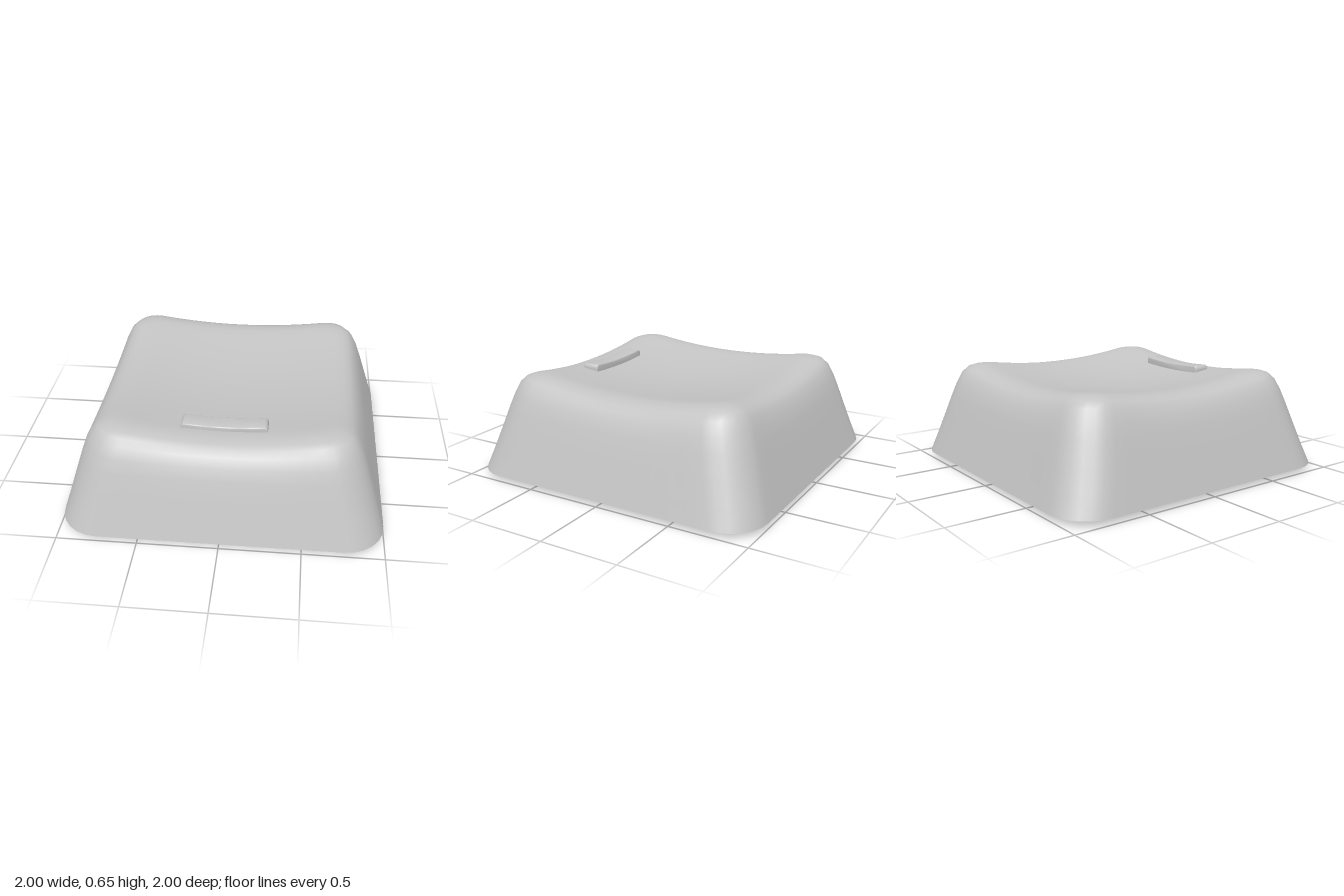
import * as THREE from 'three';
import { toCreasedNormals } from 'three/addons/utils/BufferGeometryUtils.js';

const DISH = 0.148; // curvature of the spherical dish

// Rounded square outline, half-size s, corner radius r, as [x, z] points
function outline(s, r, arc = 6, side = 12) {
  const pts = [];
  const c = s - r;
  const quarter = [[c, c], [-c, c], [-c, -c], [c, -c]];
  for (let q = 0; q < 4; q++) {
    const [cx, cz] = quarter[q];
    for (let i = 0; i <= arc; i++) {
      const a = (q + i / arc) * Math.PI / 2;
      pts.push([cx + r * Math.cos(a), cz + r * Math.sin(a)]);
    }
    const [x0, z0] = pts[pts.length - 1];
    const a = (q + 1) * Math.PI / 2;
    const [nx, nz] = quarter[(q + 1) % 4];
    const x1 = nx + r * Math.cos(a), z1 = nz + r * Math.sin(a);
    for (let i = 1; i < side; i++) {
      const t = i / side;
      pts.push([x0 + (x1 - x0) * t, z0 + (z1 - z0) * t]);
    }
  }
  return pts;
}

// Skin through rings [half-size, height at mid side, corner radius, corner lift]
function loft(rings) {
  const pos = [], idx = [];
  let n = 0;
  for (const [s, y, r, lift] of rings) {
    const pts = outline(s, r);
    n = pts.length;
    for (const [x, z] of pts) pos.push(x, y + lift * DISH * (x * x + z * z - s * s), z);
  }
  for (let i = 0; i < rings.length - 1; i++) {
    for (let j = 0; j < n; j++) {
      const k = (j + 1) % n;
      const a = i * n + j, b = i * n + k;
      idx.push(a, a + n, b, b, a + n, b + n);
    }
  }
  const g = new THREE.BufferGeometry();
  g.setAttribute('position', new THREE.Float32BufferAttribute(pos, 3));
  g.setIndex(idx);
  g.computeVertexNormals();
  return g;
}

export function createModel() {
  const group = new THREE.Group();
  const plastic = new THREE.MeshStandardMaterial({ color: 0xc4c4c4 });
  plastic.name = 'grey plastic';

  const add = (name, geometry) => {
    const mesh = new THREE.Mesh(geometry, plastic);
    mesh.name = name;
    group.add(mesh);
  };

  // Outer skin: sloped walls, rounded shoulder, dished top
  add('outerShell', loft([
    [1, 0.035, 0.25, 0], [0.958, 0.165, 0.245, 0], [0.915, 0.3, 0.24, 0.05],
    [0.875, 0.42, 0.23, 0.15], [0.845, 0.49, 0.22, 0.4], [0.81, 0.545, 0.2, 0.7],
    [0.775, 0.574, 0.18, 0.85], [0.735, 0.588, 0.16, 0.92], [0.69, 0.595, 0.14, 0.98],
    [0.64, 0.596, 0.11, 1], [0.58, 0.588, 0.09, 1], [0.48, 0.574, 0.07, 1],
    [0.36, 0.559, 0.05, 1], [0.24, 0.5485, 0.03, 1], [0.12, 0.542, 0.01, 1], [0, 0.54, 0, 1],
  ]));

  // Hollow underside, from ceiling centre down to the rim
  add('innerShell', loft([
    [0, 0.46, 0, 1], [0.2, 0.466, 0.03, 1], [0.4, 0.484, 0.06, 1], [0.58, 0.505, 0.1, 1],
    [0.67, 0.502, 0.13, 0.9], [0.74, 0.478, 0.16, 0.7], [0.79, 0.43, 0.18, 0.4],
    [0.83, 0.34, 0.2, 0.1], [0.955, 0.035, 0.21, 0],
  ]));

  // Flat bottom edge of the walls
  add('bottomRim', loft([[0.955, 0.035, 0.21, 0], [1, 0.035, 0.25, 0]]));

  // Round stem with a cross-shaped socket
  const stem = new THREE.Shape();
  stem.absarc(0, 0, 0.34, 0, Math.PI * 2, false);
  const L = 0.265, w = 0.09;
  const cross = [[L, -w], [L, w], [w, w], [w, L], [-w, L], [-w, w],
    [-L, w], [-L, -w], [-w, -w], [-w, -L], [w, -L], [w, -w]];
  stem.holes.push(new THREE.Path(cross.map(([x, y]) => new THREE.Vector2(x, y))));
  const stemGeo = new THREE.ExtrudeGeometry(stem, { depth: 0.5, bevelEnabled: false, curveSegments: 24 });
  stemGeo.rotateX(-Math.PI / 2);
  add('stem', toCreasedNormals(stemGeo, 0.6));

  // Raised finger bar that follows the dish
  const bar = new THREE.Shape();
  const half = 0.258, top = (x) => 0.613 + 0.2 * x * x;
  bar.moveTo(-half, 0.57);
  bar.lineTo(half, 0.57);
  bar.lineTo(half, top(half) - 0.022);
  bar.quadraticCurveTo(half, top(half), half - 0.022, top(half - 0.022));
  for (let i = 1; i <= 12; i++) {
    const x = (half - 0.022) * (1 - i / 6);
    bar.lineTo(x, top(x));
  }
  bar.quadraticCurveTo(-half, top(half), -half, top(half) - 0.022);
  bar.closePath();
  const barGeo = new THREE.ExtrudeGeometry(bar, {
    depth: 0.096, bevelThickness: 0.007, bevelSize: 0.007, bevelSegments: 3, curveSegments: 5,
  });
  barGeo.translate(0, 0, 0.507);
  add('fingerBar', toCreasedNormals(barGeo, 0.7));

  return group;
}
